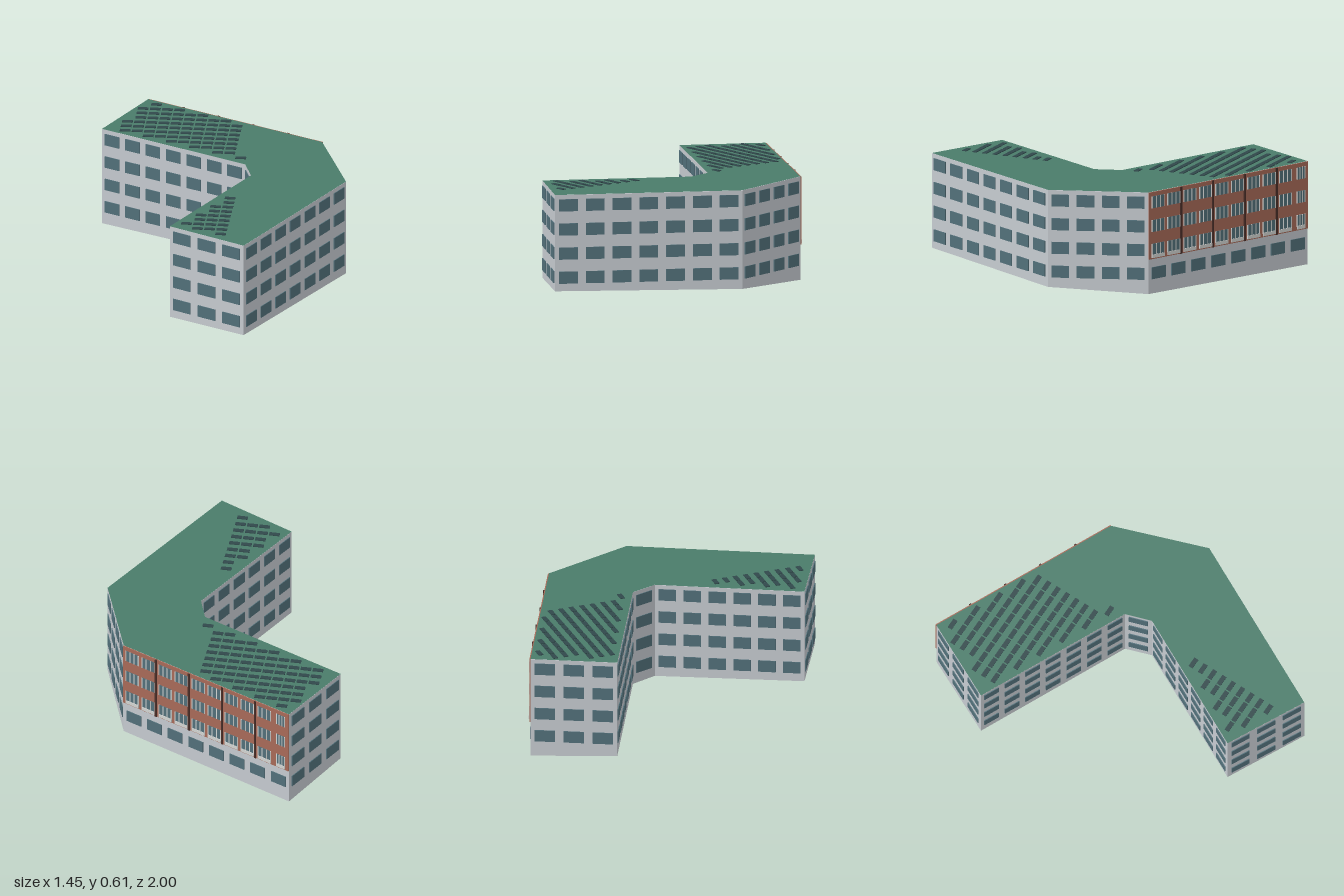
import * as THREE from 'three';

const material = (name, color) => {
  const m = new THREE.MeshStandardMaterial({ color });
  m.name = name;
  return m;
};

export function createModel() {
  const wallGrey = material('wall grey', 0xc6cbd0);
  const roofGreen = material('roof green', 0x4a7c6a);
  const glass = material('window glass', 0x52707a);
  const brick = material('brick', 0xa86a58);
  const pipeBrown = material('downpipe brown', 0x4a2e28);
  const trim = material('pale trim', 0xd4d6d4);
  const panelDark = material('roof panel', 0x30484b);

  const H = 0.6;
  const model = new THREE.Group();
  model.name = 'bentBuilding';

  const box = (parent, name, mat, w, h, d, x, y, z) => {
    const mesh = new THREE.Mesh(new THREE.BoxGeometry(w, h, d), mat);
    mesh.name = name;
    mesh.position.set(x, y, z);
    parent.add(mesh);
    return mesh;
  };

  // Footprint corners: x, z, height of the sloping base, windows per floor on the wall that starts here
  const corners = [
    [-0.51, -0.993, 0.0, 8],
    [0.53, -0.497, 0.009, 4],
    [0.722, 0.04, 0.036, 7],
    [0.243, 0.997, 0.05, 3],
    [-0.2, 0.77, 0.044, 6],
    [0.18, 0.01, 0.034, 1],
    [0.13, -0.14, 0.03, 7],
    [-0.725, -0.55, 0.02, 3],
  ];
  const shape = new THREE.Shape(corners.map(([x, z]) => new THREE.Vector2(x, -z)));

  // Walls, with the bottom edge lifted to follow the sloping ground
  const body = new THREE.ExtrudeGeometry(shape, { depth: H, bevelEnabled: false });
  body.rotateX(-Math.PI / 2);
  const p = body.attributes.position;
  for (let i = 0; i < p.count; i++) {
    if (p.getY(i) > 0.3) continue;
    const c = corners.find(([x, z]) => Math.hypot(x - p.getX(i), z - p.getZ(i)) < 0.01);
    p.setY(i, c[2]);
  }
  body.computeVertexNormals();
  const walls = new THREE.Mesh(body, wallGrey);
  walls.name = 'walls';
  model.add(walls);

  // Flat roof
  const roof = new THREE.Mesh(new THREE.ShapeGeometry(shape).rotateX(-Math.PI / 2), roofGreen);
  roof.name = 'roof';
  roof.position.y = H + 0.001;
  model.add(roof);

  // Windows: evenly divided cells on every wall, four floors
  const floors = [0.127, 0.265, 0.403, 0.541];
  const winH = 0.069;
  corners.forEach(([x, z, , count], i) => {
    const [x2, z2] = corners[(i + 1) % corners.length];
    const length = Math.hypot(x2 - x, z2 - z);
    const facade = new THREE.Group();
    facade.name = i === 0 ? 'brickFacade' : 'facade';
    facade.position.set((x + x2) / 2, 0, (z + z2) / 2);
    facade.rotation.y = Math.atan2(z2 - z, -(x2 - x));
    model.add(facade);
    const cell = length / count;
    const rows = i === 0 ? floors.slice(0, 1) : floors;
    for (const y of rows) {
      for (let k = 0; k < count; k++) {
        box(facade, 'window', glass, cell * 0.7, winH, 0.008, (k + 0.5) * cell - length / 2, y, 0.001);
      }
    }
    if (i === 0) addBrickwork(facade, length);
  });

  // Brick cladding on the upper floors of the back wall
  function addBrickwork(facade, length) {
    const bottom = 0.21;
    const mid = (bottom + H) / 2;
    box(facade, 'brickCladding', brick, length, H - bottom, 0.006, 0, mid, 0.003);
    const bays = 5;
    const bay = length / bays;
    for (let b = 0; b < bays; b++) {
      const start = b * bay - length / 2;
      if (b > 0) box(facade, 'downpipe', pipeBrown, 0.012, H - bottom, 0.008, start, mid, 0.008);
      for (const f of [0.28, 0.77]) {
        const w = b === bays - 1 && f > 0.5 ? 0.055 : 0.086;
        const x = start + f * bay;
        floors.slice(1).forEach((y, row) => {
          box(facade, 'brickWindow', glass, w, winH, 0.004, x, y, 0.0065);
          for (const s of [-0.5, -0.17, 0.17, 0.5]) {
            box(facade, 'windowTrim', trim, 0.006, winH, 0.005, x + s * w, y, 0.0075);
          }
          if (row === 0) box(facade, 'balconyRail', trim, w + 0.004, 0.02, 0.006, x, y - 0.038, 0.009);
        });
      }
    }
  }

  // Roof panels on a regular grid: row, first column, last column
  const runs = [
    [0, 2, 2], [1, 1, 4], [2, 1, 6], [3, 1, 8], [4, 0, 9], [5, 0, 9],
    [6, 0, 9], [7, 2, 9], [8, 4, 9], [9, 6, 9], [10, 8, 9], [11, 10, 10],
    [20, 10, 10], [21, 10, 10], [22, 9, 10], [23, 9, 10], [24, 8, 10],
    [25, 8, 10], [26, 7, 10], [27, 8, 10], [28, 10, 10],
  ];
  for (const [row, first, last] of runs) {
    for (let c = first; c <= last; c++) {
      box(model, 'roofPanel', panelDark, 0.06, 0.006, 0.027, -0.593 + c * 0.069, H + 0.002, -0.919 + row * 0.0632);
    }
  }

  return model;
}
